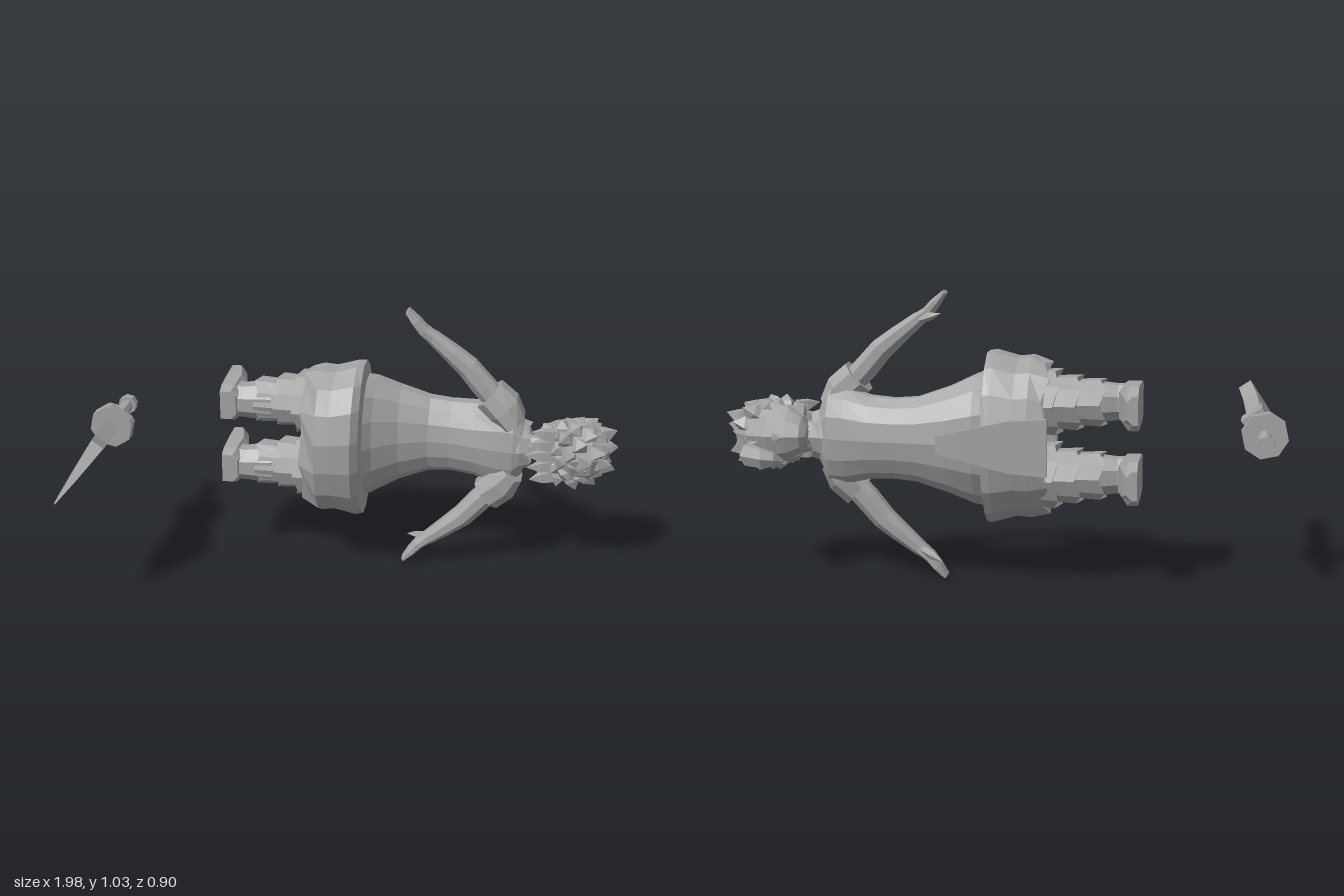
import * as THREE from 'three';

const grey = new THREE.MeshStandardMaterial({ color: 0xa3a3a3 });
grey.name = 'stone grey';
const V = (x, y, z) => new THREE.Vector3(x, y, z);
const MID = 0.52; // body axis height; the figure lies along x, head at +x, face to -z

// Faceted skin over a list of rings, each an array of Vector3, capped at both ends
function skin(name, rings) {
  const pos = [], n = rings[0].length;
  const tri = (...p) => p.forEach(q => pos.push(q.x, q.y, q.z));
  for (let i = 0; i < rings.length - 1; i++) for (let j = 0; j < n; j++) {
    const k = (j + 1) % n, A = rings[i], B = rings[i + 1];
    tri(A[j], A[k], B[k]);
    tri(A[j], B[k], B[j]);
  }
  const first = rings[0], last = rings[rings.length - 1];
  for (let j = 1; j < n - 1; j++) {
    tri(first[0], first[j + 1], first[j]);
    tri(last[0], last[j], last[j + 1]);
  }
  const g = new THREE.BufferGeometry();
  g.setAttribute('position', new THREE.Float32BufferAttribute(pos, 3));
  g.computeVertexNormals();
  const m = new THREE.Mesh(g, grey);
  m.name = name;
  return m;
}

// Elliptic ring; u x v points along the loft
function ring(c, u, v, n, jag = 0) {
  const axis = u.clone().cross(v).normalize();
  return Array.from({ length: n }, (_, j) => {
    const a = (j + 0.5) / n * Math.PI * 2;
    return c.clone().addScaledVector(u, Math.cos(a)).addScaledVector(v, Math.sin(a))
      .addScaledVector(axis, j % 2 ? jag : 0);
  });
}

// Loft along +x from rows [x, half width, z front, z back, jag]
const along = (name, rows, y, n) => skin(name, rows.map(([x, w, z0, z1, jag]) =>
  ring(V(x, y, (z0 + z1) / 2), V(0, w, 0), V(0, 0, (z1 - z0) / 2), n, jag)));

// Limb in the xy plane from rows [x, offset from axis, in-plane radius, z radius]
function limb(name, rows, s, z, n) {
  const pts = rows.map(r => V(r[0], MID + s * r[1], z));
  return skin(name, rows.map((r, i) => {
    const d = pts[Math.min(i + 1, pts.length - 1)].clone().sub(pts[Math.max(i - 1, 0)]).normalize();
    return ring(pts[i], V(0, 0, 1).cross(d).multiplyScalar(r[2]), V(0, 0, r[3]), n);
  }));
}

// Pointed tuft from base to tip
function spike(name, base, tip, r, n = 4) {
  const d = tip.clone().sub(base).normalize();
  const u = (Math.abs(d.x) < 0.9 ? V(1, 0, 0) : V(0, 1, 0)).cross(d).normalize();
  const v = d.clone().cross(u);
  const at = (t, k) => ring(base.clone().lerp(tip, t), u.clone().multiplyScalar(r * k), v.clone().multiplyScalar(r * k), n);
  return skin(name, [at(0, 1), at(0.5, 0.8), at(1, 0.04)]);
}

function makeHead() {
  const g = new THREE.Group();
  g.name = 'head';
  const c = V(0.81, MID, -0.262);
  g.add(along('neck', [[0.58, 0.06, -0.33, -0.22], [0.65, 0.042, -0.315, -0.225], [0.73, 0.045, -0.315, -0.225]], MID, 8));
  g.add(along('skull', [[0.68, 0.03, -0.35, -0.26], [0.7, 0.065, -0.37, -0.22], [0.75, 0.1, -0.375, -0.18],
    [0.82, 0.118, -0.375, -0.155], [0.89, 0.105, -0.36, -0.16], [0.94, 0.06, -0.32, -0.2], [0.955, 0.02, -0.28, -0.24]], MID, 10));
  g.add(spike('nose', V(0.79, MID, -0.36), V(0.755, MID, -0.395), 0.018));
  // Hair tufts spread over the skull, leaving the face open
  const N = 64;
  for (let i = 0; i < N; i++) {
    const h = 1 - 2 * (i + 0.5) / N, a = i * 2.39996, r = Math.sqrt(1 - h * h);
    const d = V(h, r * Math.cos(a), r * Math.sin(a));
    if ((d.z < -0.45 && d.x < 0.35) || d.x < -0.8) continue;
    const len = 0.92 + 0.12 * Math.sin(i * 5.3);
    const base = c.clone().add(V(d.x * 0.1, d.y * 0.09, d.z * 0.078));
    const tip = c.clone().add(V(d.x * 0.17 * len + 0.02, d.y * 0.147 * len, d.z * 0.128 * len));
    g.add(spike('hair tuft', base, tip, 0.042));
  }
  // Short locks at the nape
  for (const dy of [-0.08, -0.04, 0, 0.04, 0.08])
    g.add(spike('nape lock', V(0.75, MID + dy, -0.2), V(0.645 + Math.abs(dy) * 0.3, MID + dy * 1.2, -0.18), 0.03));
  // Curled forelock
  const lock = [[0.86, 0.47, -0.36, 0.03], [0.87, 0.46, -0.405, 0.034], [0.82, 0.455, -0.425, 0.032],
    [0.775, 0.45, -0.42, 0.022], [0.745, 0.44, -0.4, 0.004]];
  g.add(skin('forelock', lock.map(([x, y, z, r], i) => {
    const t = i < 1 ? V(0, 0, -1) : i < 2 ? V(-0.6, 0, -0.8) : V(-1, 0, 0.15).normalize();
    const v = t.clone().cross(V(0, 1, 0));
    return ring(V(x, y, z), V(0, r * 1.2, 0), v.multiplyScalar(r), 6);
  })));
  return g;
}

function makeArm(s) {
  const g = new THREE.Group();
  g.name = s > 0 ? 'upperArmGroup' : 'lowerArmGroup';
  g.add(limb('sleeve', [[0.6, 0.1, 0.05, 0.085], [0.56, 0.155, 0.07, 0.08], [0.505, 0.205, 0.068, 0.066], [0.51, 0.2, 0.045, 0.045]], s, -0.256, 8));
  g.add(limb('arm', [[0.54, 0.17, 0.045, 0.046], [0.48, 0.235, 0.046, 0.046], [0.42, 0.305, 0.043, 0.044],
    [0.36, 0.355, 0.036, 0.042], [0.285, 0.415, 0.027, 0.034]], s, -0.258, 8));
  g.add(limb('hand', [[0.29, 0.41, 0.026, 0.035], [0.255, 0.437, 0.022, 0.042], [0.225, 0.473, 0.018, 0.044],
    [0.195, 0.508, 0.009, 0.036]], s, -0.258, 8));
  g.add(spike('thumb', V(0.275, MID + s * 0.415, -0.28), V(0.198, MID + s * 0.44, -0.325), 0.018));
  return g;
}

function makeLeg(s) {
  const g = new THREE.Group();
  g.name = s > 0 ? 'upperLeg' : 'lowerLeg';
  const y = MID + s * 0.13;
  g.add(along('boot shaft', [[-0.47, 0.072, -0.29, -0.15], [-0.41, 0.066, -0.28, -0.15], [-0.3, 0.08, -0.31, -0.15]], y, 8));
  // Loose trouser tiers with ragged hems
  const tiers = [[-0.37, 0.086, -0.32, -0.15], [-0.29, 0.098, -0.355, -0.14], [-0.215, 0.118, -0.38, -0.11]];
  for (const [x, w, z0, z1] of tiers)
    g.add(along('trouser tier', [[x + 0.02, w * 0.7, z0 + 0.04, z1 - 0.04], [x, w, z0, z1, 0.02],
      [x + 0.06, w * 0.97, z0, z1], [x + 0.13, w * 0.9, z0, z1]], y, 10));
  // Foot runs towards -z, sole at the -x end
  const foot = [[-0.145, 0.055, -0.43], [-0.18, 0.07, -0.42], [-0.28, 0.076, -0.415], [-0.36, 0.076, -0.435], [-0.402, 0.05, -0.452]];
  g.add(skin('foot', foot.map(([z, w, top]) => {
    const p = (k, x) => V(x, y + k * w, z);
    return [p(1, -0.49), p(1, top - 0.02), p(0.6, top), p(-0.6, top), p(-1, top - 0.02), p(-1, -0.49)];
  })));
  return g;
}

function makeSword() {
  const g = new THREE.Group();
  g.name = 'sword';
  // Built along local z, blade width on local x, then rolled
  const rod = (name, r, z0, z1, n) => {
    const geo = new THREE.CylinderGeometry(r, r, z1 - z0, n).rotateX(Math.PI / 2).toNonIndexed();
    geo.computeVertexNormals();
    const m = new THREE.Mesh(geo, grey);
    m.name = name;
    m.position.z = (z0 + z1) / 2;
    g.add(m);
  };
  rod('pommel', 0.036, -0.37, -0.34, 8);
  rod('grip', 0.023, -0.34, -0.17, 8);
  rod('guard', 0.083, -0.175, -0.13, 8);
  const slab = (name, rows) => g.add(skin(name, rows.map(([z, lo, hi, t]) =>
    [V(lo, -t * 0.35, z), V(hi, -t, z), V(hi, t, z), V(lo, t * 0.35, z)])));
  slab('blade collar', [[-0.14, -0.07, 0.085, 0.045], [-0.04, -0.065, 0.085, 0.042]]);
  slab('blade', [[-0.06, -0.06, 0.075, 0.03], [0, -0.06, 0.078, 0.029], [0.16, -0.075, 0.1, 0.028],
    [0.265, -0.08, 0.137, 0.026], [0.36, -0.068, 0.035, 0.015], [0.442, -0.058, -0.052, 0.003]]);
  g.position.set(-0.915, 0.533, 0);
  g.rotation.z = 0.96;
  return g;
}

export function createModel() {
  const model = new THREE.Group();
  model.name = 'swordsman';
  model.add(along('tunic', [[0.02, 0.25, -0.42, -0.07], [0.08, 0.232, -0.43, -0.14], [0.17, 0.19, -0.43, -0.2],
    [0.28, 0.152, -0.42, -0.235], [0.36, 0.145, -0.415, -0.235], [0.45, 0.15, -0.41, -0.215],
    [0.54, 0.175, -0.395, -0.195], [0.6, 0.175, -0.38, -0.19], [0.635, 0.11, -0.35, -0.2]], MID, 14));
  // Flared skirt, hollow at the hem
  model.add(along('skirt', [[-0.06, 0.2, -0.37, -0.09], [-0.17, 0.25, -0.4, -0.07], [-0.18, 0.27, -0.41, -0.06, 0.025],
    [-0.11, 0.29, -0.425, 0], [-0.06, 0.285, -0.43, -0.005], [0.02, 0.308, -0.43, -0.02],
    [0.045, 0.306, -0.425, -0.05], [0.05, 0.25, -0.42, -0.08]], MID, 16));
  // Front panel hanging from the waist
  const panel = [[-0.185, 0.1, -0.442], [-0.05, 0.09, -0.44], [0.12, 0.05, -0.436], [0.2, 0.03, -0.43]];
  model.add(skin('front panel', panel.map(([x, w, z]) =>
    [V(x, MID - w, z), V(x, MID + w, z), V(x, MID + w, z + 0.02), V(x, MID - w, z + 0.02)])));
  model.add(along('collar', [[0.58, 0.12, -0.375, -0.2], [0.625, 0.1, -0.37, -0.19], [0.655, 0.085, -0.36, -0.2, 0.012],
    [0.63, 0.055, -0.335, -0.215]], MID, 10));
  for (const s of [1, -1]) model.add(makeArm(s), makeLeg(s));
  model.add(makeHead(), makeSword());
  return model;
}
